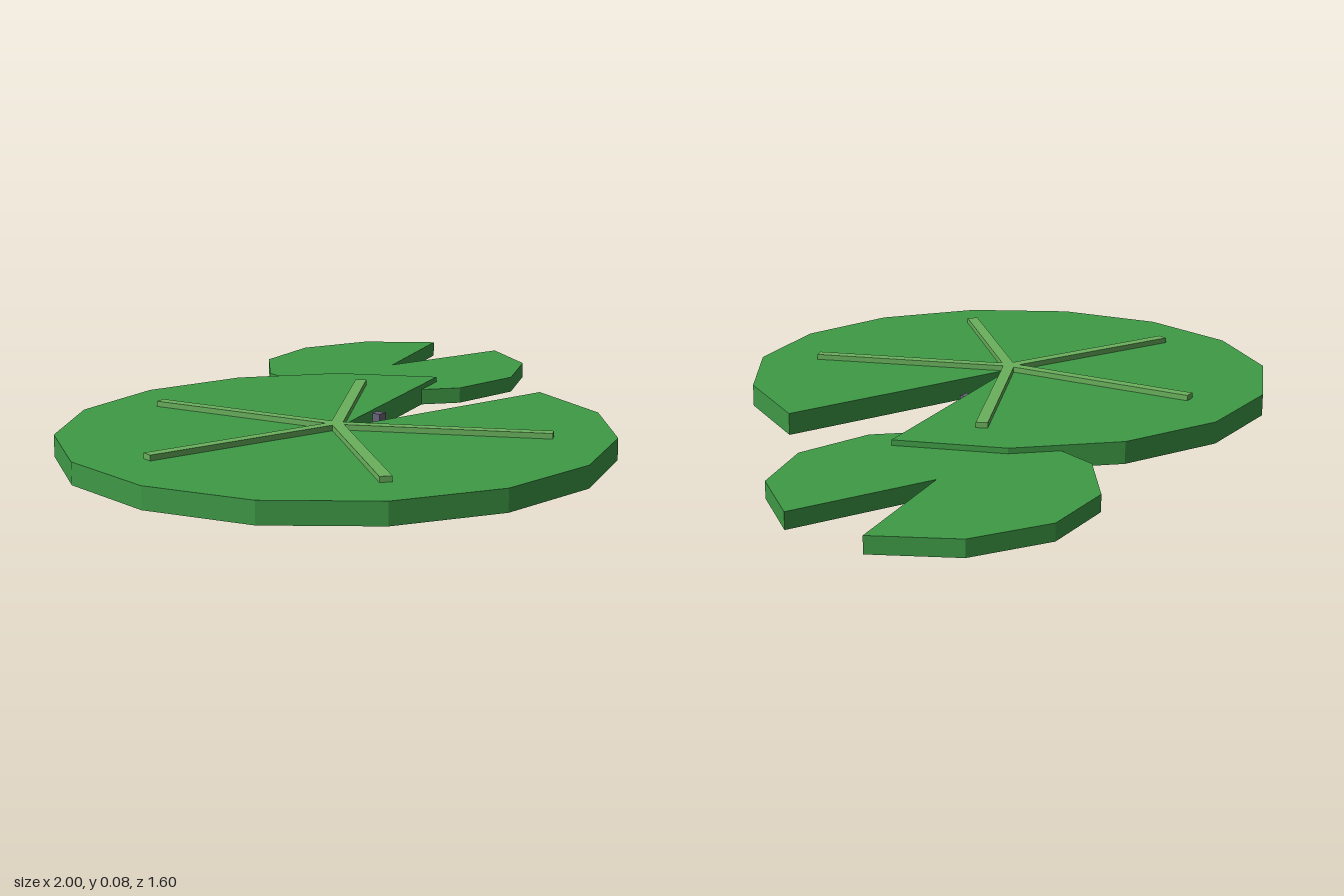
import * as THREE from 'three';

const padMat = new THREE.MeshStandardMaterial({ color: 0x3f9a46 });
const veinMat = new THREE.MeshStandardMaterial({ color: 0x69b05c });
const stoneMat = new THREE.MeshStandardMaterial({ color: 0x6a6478 });

// Faceted disc with a wedge notch opening toward +x
function makePad(name, radius, height, sides, notch, apexX) {
  const shape = new THREE.Shape();
  shape.moveTo(apexX, 0);
  for (let i = 0; i <= sides; i++) {
    const a = notch + (i / sides) * (2 * Math.PI - 2 * notch);
    shape.lineTo(radius * Math.cos(a), radius * Math.sin(a));
  }
  shape.closePath();
  const geo = new THREE.ExtrudeGeometry(shape, { depth: height, bevelEnabled: false });
  geo.rotateX(-Math.PI / 2);
  const mesh = new THREE.Mesh(geo, padMat);
  mesh.name = name;
  return mesh;
}

export function createModel() {
  const group = new THREE.Group();
  group.name = 'lilyPads';

  // Large pad with raised veins
  const large = new THREE.Group();
  large.name = 'largeLilyPad';
  large.position.set(-0.255, 0, 0.052);
  large.add(makePad('largePad', 0.745, 0.06, 14, 0.249, 0));
  const veinLength = 0.578;
  for (let i = 0; i < 5; i++) {
    const geo = new THREE.BoxGeometry(veinLength, 0.015, 0.032);
    geo.translate(veinLength / 2, 0, 0);
    const vein = new THREE.Mesh(geo, veinMat);
    vein.name = 'vein' + (i + 1);
    vein.position.y = 0.0675;
    vein.rotation.y = THREE.MathUtils.degToRad(31 + i * 66.3);
    large.add(vein);
  }
  group.add(large);

  // Small pad tucked behind
  const small = makePad('smallPad', 0.41, 0.045, 10, 0.304, -0.008);
  small.position.set(0.608, 0, -0.396);
  group.add(small);

  // Tiny block in the notch of the large pad
  const block = new THREE.Mesh(new THREE.BoxGeometry(0.03, 0.03, 0.03), stoneMat);
  block.name = 'notchBlock';
  block.position.set(0, 0.035, 0);
  group.add(block);

  return group;
}
